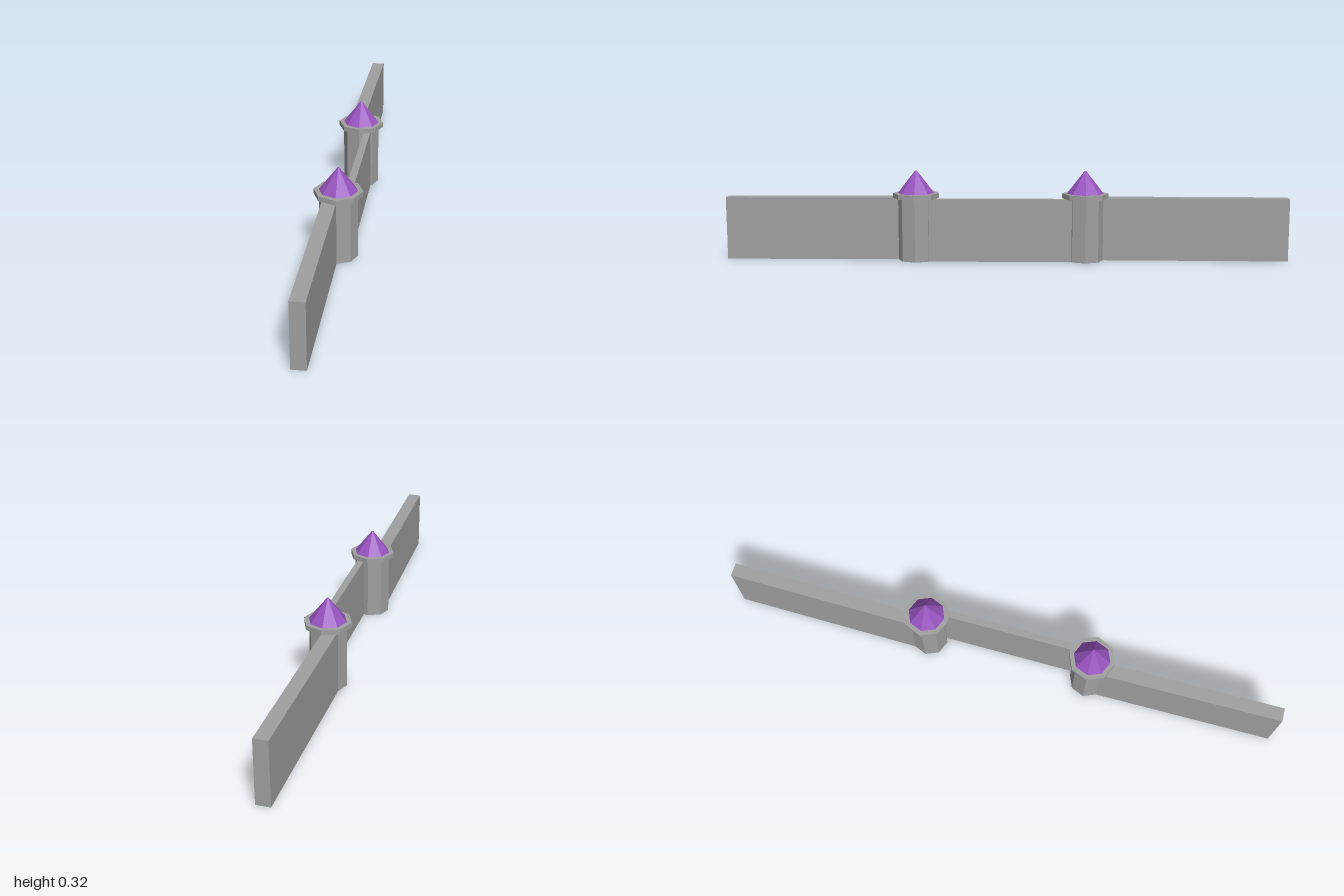
import * as THREE from 'three';

const stone = new THREE.MeshStandardMaterial({ color: 0xa0a0a0, flatShading: true, side: THREE.DoubleSide });
stone.name = 'stone grey';
const roofTile = new THREE.MeshStandardMaterial({ color: 0x9653bd, flatShading: true, side: THREE.DoubleSide });
roofTile.name = 'roof purple';

const SIDES = 8;
const WALL_HEIGHT = 0.223;

function addMesh(parent, name, geometry, material, y) {
  const mesh = new THREE.Mesh(geometry, material);
  mesh.name = name;
  mesh.position.y = y;
  parent.add(mesh);
  return mesh;
}

// Octagonal tower: shaft, projecting collar and pointed roof
function createTower(name, z) {
  const tower = new THREE.Group();
  tower.name = name;
  tower.position.z = z;
  addMesh(tower, 'shaft', new THREE.CylinderGeometry(0.065, 0.065, WALL_HEIGHT, SIDES, 1, true), stone, WALL_HEIGHT / 2);
  addMesh(tower, 'collar', new THREE.CylinderGeometry(0.082, 0.082, 0.017, SIDES), stone, WALL_HEIGHT + 0.0085);
  addMesh(tower, 'roof', new THREE.CylinderGeometry(0.003, 0.065, 0.08, SIDES), roofTile, 0.28);
  return tower;
}

// Straight wall with an open underside, sheared in x from xBack (at z0) to xFront (at z1)
function createWall(parent, name, z0, z1, xBack, xFront, thickness) {
  const geometry = new THREE.BoxGeometry(thickness, WALL_HEIGHT, z1 - z0);
  const pos = geometry.attributes.position;
  for (let i = 0; i < pos.count; i++) {
    const front = pos.getZ(i) > 0;
    pos.setX(i, pos.getX(i) + (front ? xFront : xBack));
    pos.setZ(i, front ? z1 : z0);
  }
  // Leave out the bottom face (fourth side of the box)
  const index = Array.from(geometry.index.array).filter((_, i) => i < 18 || i >= 24);
  geometry.setIndex(index);
  geometry.clearGroups();
  geometry.computeVertexNormals();
  addMesh(parent, name, geometry, stone, WALL_HEIGHT / 2);
}

export function createModel() {
  const model = new THREE.Group();
  model.name = 'castleWall';

  model.add(createTower('frontTower', 0.32), createTower('backTower', -0.28));

  createWall(model, 'frontWall', 0.32, 1, -0.023, -0.016, 0.048);
  createWall(model, 'middleWall', -0.28, 0.32, 0.029, 0.029, 0.025);
  createWall(model, 'backWall', -1, -0.28, -0.016, -0.023, 0.048);

  return model;
}
